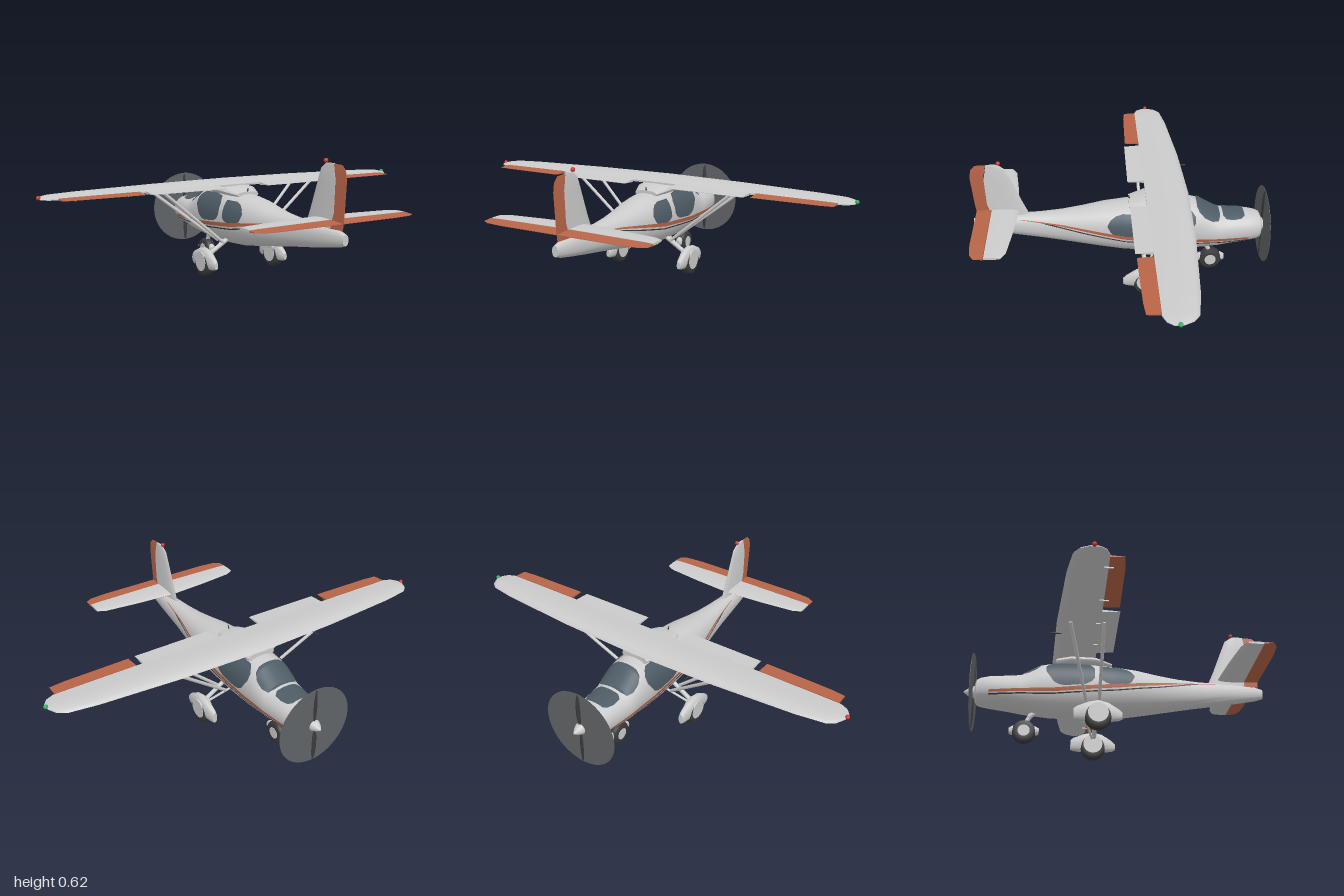
import * as THREE from 'three';
import { mergeVertices, toCreasedNormals } from 'three/addons/utils/BufferGeometryUtils.js';

const paint = (color) => new THREE.MeshStandardMaterial({ color, side: THREE.DoubleSide });
const grey = paint(0xcccccc), brown = paint(0xb86548), glass = paint(0x4e5c66);
const dark = paint(0x3a3a3c), discGrey = paint(0x606366);
const red = paint(0xd03a30), green = paint(0x2fae62);

// Linear lookup of column k in a table sorted by its first column
function lookup(table, z, k) {
  let i = 0;
  while (i < table.length - 2 && z > table[i + 1][0]) i++;
  const a = table[i], b = table[i + 1];
  return THREE.MathUtils.lerp(a[k], b[k], THREE.MathUtils.clamp((z - a[0]) / (b[0] - a[0]), 0, 1));
}

// Surface through rows of points
function skin(rows, crease = 0.7) {
  const n = rows[0].length, pos = rows.flat(2), idx = [];
  for (let i = 0; i < rows.length - 1; i++) for (let j = 0; j < n - 1; j++) {
    const a = i * n + j, c = a + n;
    idx.push(a, a + 1, c, a + 1, c + 1, c);
  }
  const g = new THREE.BufferGeometry();
  g.setAttribute('position', new THREE.Float32BufferAttribute(pos, 3));
  g.setIndex(idx);
  return toCreasedNormals(mergeVertices(g, 1e-5), crease);
}

// Body through oval sections [z, top, bottom, half width], closed at both ends
const POWER = 2.25;
function body(table, sides = 32) {
  const ring = ([z, t, b, w], s) => Array.from({ length: sides + 1 }, (_, j) => {
    const a = (j % sides) / sides * Math.PI * 2, c = Math.cos(a), n = Math.sin(a);
    const p = (v) => Math.sign(v) * Math.abs(v) ** (2 / POWER);
    return [s * w * p(c), (t + b) / 2 + s * (t - b) / 2 * p(n), z];
  });
  return skin([ring(table[0], 0), ...table.map((r) => ring(r, 1)), ring(table.at(-1), 0)]);
}

// Flying surface through stations [x, leading z, trailing z, thickness], closed at both ends
const WING = [[0, 0], [.03, .4], [.12, .75], [.3, 1], [.6, .8], [1, .3], [1, -.1], [.6, -.4], [.2, -.5], [.05, -.3]];
const FORE = [[0, 0], [.04, .35], [.2, .75], [.55, 1], [1, .8], [1, -.8], [.55, -1], [.2, -.75], [.04, -.35]];
const AFT = [[0, .8], [1, .12], [1, -.12], [0, -.8]];
function panel(stations, profile) {
  const loop = [...profile, profile[0]];
  const row = ([x, l, t, h], s) => loop.map(([u, v]) => [x, s * v * h, l + (t - l) * (0.5 + s * (u - 0.5))]);
  return skin([row(stations[0], 0), ...stations.map((r) => row(r, 1)), row(stations.at(-1), 0)], 0.6);
}
const bothSides = (st) => [...st.slice(st[0][0] === 0 ? 1 : 0).reverse().map(([x, ...r]) => [-x, ...r]), ...st];

// Fuselage sections: z, top, bottom, half width
const HULL = [
  [-.668, .29, .205, .05], [-.66, .308, .19, .07], [-.64, .317, .184, .08], [-.6, .325, .178, .09],
  [-.5, .33, .165, .101], [-.45, .335, .156, .106], [-.4, .365, .15, .109], [-.36, .39, .145, .112],
  [-.32, .4, .141, .115], [-.2, .405, .138, .118], [-.1, .402, .14, .118], [0, .395, .147, .115],
  [.1, .384, .162, .102], [.2, .365, .178, .084], [.3, .35, .195, .067], [.4, .342, .211, .053],
  [.5, .338, .226, .043], [.6, .334, .242, .033], [.69, .328, .258, .022], [.725, .318, .27, .015]];

// Thin patch lying on the fuselage side between two (z, y) lines
function sidePatch(upper, lower, side) {
  const rows = [], z0 = upper[0][0], z1 = upper.at(-1)[0], lift = 0.003;
  for (let i = 0; i <= 40; i++) {
    const z = z0 + (z1 - z0) * i / 40, row = [];
    const t = lookup(HULL, z, 1), b = lookup(HULL, z, 2), w = lookup(HULL, z, 3) + lift;
    for (let j = 0; j <= 8; j++) {
      const y = THREE.MathUtils.lerp(lookup(lower, z, 1), lookup(upper, z, 1), j / 8);
      const k = Math.min(1, Math.abs(y - (t + b) / 2) / ((t - b) / 2 + lift));
      row.push([side * w * (1 - k ** POWER) ** (1 / POWER), y, z]);
    }
    rows.push(side > 0 ? row : row.reverse());
  }
  return skin(rows);
}

// Thin patch lying on the fuselage top, outline [z, half width]
function topPatch(outline) {
  const rows = [], z0 = outline[0][0], z1 = outline.at(-1)[0];
  for (let i = 0; i <= 24; i++) {
    const z = z0 + (z1 - z0) * i / 24, row = [];
    const t = lookup(HULL, z, 1), b = lookup(HULL, z, 2), w = lookup(HULL, z, 3) + .003;
    for (let j = 0; j <= 16; j++) {
      const x = lookup(outline, z, 1) * (1 - j / 8);
      row.push([x, (t + b) / 2 + ((t - b) / 2 + .004) * (1 - (Math.abs(x) / w) ** POWER) ** (1 / POWER), z]);
    }
    rows.push(row);
  }
  return skin(rows);
}

export function createModel() {
  const model = new THREE.Group();
  const add = (name, geo, mat = grey, x = 0, y = 0, z = 0) => {
    const m = new THREE.Mesh(geo, mat);
    m.name = name;
    m.position.set(x, y, z);
    model.add(m);
    return m;
  };
  const rod = (name, a, b, r, mat = grey) => {
    const p = new THREE.Vector3(...a), q = new THREE.Vector3(...b), d = q.clone().sub(p);
    const m = add(name, new THREE.CylinderGeometry(r, r, d.length(), 12), mat);
    m.position.copy(p).add(q).multiplyScalar(0.5);
    m.quaternion.setFromUnitVectors(new THREE.Vector3(0, 1, 0), d.normalize());
    return m;
  };
  const wheel = (name, x, y, z, r, halfWidth, hub, hubLift) => {
    const e = halfWidth, tyre = [[r * .5, -e], [r * .85, -e], [r * .97, -e * .6], [r, 0], [r * .97, e * .6], [r * .85, e], [r * .5, e]];
    const pts = tyre.map(([a, b]) => new THREE.Vector2(a, b));
    add(name + 'Tyre', new THREE.LatheGeometry(pts, 32).rotateZ(Math.PI / 2), dark, x, y, z);
    add(name + 'Hub', new THREE.CylinderGeometry(hub, hub, halfWidth * 2.15, 28).rotateZ(Math.PI / 2), grey, x, y + hubLift, z);
  };

  // Fuselage and the fairing joining cabin roof to wing
  add('fuselage', body(HULL));
  add('wingFairing', body([[-.29, .425, .38, .07], [-.22, .435, .38, .09], [-.1, .432, .38, .09], [-.02, .41, .38, .06]], 20));

  // Glazing and dark panel on the cowl
  add('windshield', topPatch([[-.46, .05], [-.45, .078], [-.42, .09], [-.38, .09], [-.355, .078], [-.345, .055]]), glass);
  add('cowlPanel', topPatch([[-.58, .045], [-.565, .06], [-.53, .068], [-.49, .068], [-.475, .05]]), glass);
  for (const s of [-1, 1]) {
    add('rearWindow', sidePatch(
      [[-.07, .37], [.01, .37], [.045, .36], [.07, .343], [.085, .318]],
      [[-.07, .285], [-.055, .272], [-.03, .265], [.05, .27], [.07, .285], [.085, .315]], s), glass);
    add('doorWindow', sidePatch(
      [[-.335, .355], [-.32, .375], [-.3, .386], [-.2, .39], [-.13, .382], [-.105, .35]],
      [[-.335, .325], [-.3, .27], [-.275, .255], [-.245, .25], [-.15, .26], [-.12, .275], [-.105, .295]], s), glass);
    add('wideStripe', sidePatch(
      [[-.6, .228], [-.3, .238], [0, .268], [.3, .308], [.5, .325]],
      [[-.6, .217], [-.3, .22], [0, .249], [.3, .3], [.5, .323]], s), brown);
    const line = [[-.6, .212], [-.3, .214], [0, .24], [.2, .275], [.4, .317]];
    add('thinStripe', sidePatch(line, line.map(([z, y]) => [z, y - .006]), s), dark);
  }

  // Wing, flaps and ailerons
  add('wing', panel(bothSides([[0, -.307, -.1, .023], [.4, -.295, -.1, .021], [.8, -.265, -.1, .016],
    [.93, -.245, -.1, .013], [.965, -.22, -.115, .01], [.985, -.18, -.14, .005]]), WING), grey, 0, .432);
  for (const s of [-1, 1]) {
    const sided = (st) => s > 0 ? st : st.map(([x, ...r]) => [-x, ...r]).reverse();
    add('flap', panel(sided([[.12, -.1, -.02, .008], [.505, -.1, -.022, .008]]), AFT), grey, 0, .432);
    add('aileron', panel(sided([[.54, -.1, -.027, .008], [.85, -.1, -.033, .007], [.92, -.1, -.04, .006]]), AFT), brown, 0, .434);
    for (const x of [.2, .4, .6, .85]) add('hinge', new THREE.BoxGeometry(.006, .008, .04), grey, s * x, .428, -.1);
    add('wingtipLight', new THREE.SphereGeometry(.01, 16, 10), s > 0 ? green : red, s * .988, .438, -.165);
  }

  // Tailplane with elevator, fin with rudder
  add('tailplane', panel(bothSides([[0, .505, .635, .012], [.2, .52, .635, .01], [.37, .54, .635, .008], [.41, .56, .635, .006]]), FORE), grey, 0, .36);
  add('elevator', panel(bothSides([[0, .637, .708, .011], [.3, .637, .708, .008], [.38, .637, .7, .007], [.413, .637, .68, .005]]), AFT), brown, 0, .36);
  add('fin', panel([[.32, .45, .63, .014], [.4, .485, .655, .012], [.53, .535, .66, .01],
    [.58, .555, .65, .008], [.605, .59, .645, .005]], FORE).rotateZ(Math.PI / 2));
  add('rudder', panel([[.33, .63, .705, .012], [.4, .656, .714, .011], [.54, .661, .725, .009],
    [.58, .652, .718, .008], [.603, .646, .695, .005]], AFT).rotateZ(Math.PI / 2), brown);
  add('finLight', new THREE.SphereGeometry(.01, 16, 10), red, 0, .613, .587);

  // Wing struts and main landing gear
  for (const s of [-1, 1]) {
    rod('rearStrut', [s * .42, .425, -.085], [s * .1, .155, -.085], .008);
    rod('frontStrut', [s * .42, .42, -.235], [s * .1, .16, -.14], .008);
    rod('mainGearLeg', [s * .07, .175, -.09], [s * .19, .1, -.09], .011);
    rod('gearBrace', [s * .07, .16, -.14], [s * .17, .1, -.1], .006);
    wheel('main', s * .2, .063, -.095, .063, .026, .047, .012);
    add('mainFairing', body([[-.205, .1, .048, .012], [-.19, .112, .043, .017], [-.14, .133, .037, .024], [-.095, .143, .036, .025],
      [-.05, .132, .038, .024], [0, .1, .045, .015], [.015, .085, .052, .009]], 20), grey, s * .2);
  }

  // Nose gear
  wheel('nose', 0, .056, -.43, .056, .024, .028, 0);
  add('noseFairing', body([[-.5, .075, .045, .012], [-.485, .085, .04, .017], [-.43, .098, .04, .022],
    [-.375, .085, .04, .017], [-.36, .075, .045, .012]], 20));
  rod('noseLeg', [0, .165, -.375], [0, .13, -.41], .013);
  rod('noseFork', [0, .135, -.405], [0, .09, -.43], .011);

  // Propeller disc, blades and spinner
  add('propellerDisc', new THREE.CylinderGeometry(.187, .187, .002, 48).rotateX(Math.PI / 2), discGrey, 0, .25, -.68);
  for (const s of [-1, 1]) {
    const blade = add('propellerBlade', new THREE.SphereGeometry(1, 16, 12), dark, 0, .25 + s * .098, -.68);
    blade.scale.set(.014, .088, .006);
    blade.rotation.y = s * 0.5;
  }
  const nose = [[0, .058], [.008, .05], [.02, .032], [.03, .008], [.032, -.002], [.028, -.012], [0, -.012]].map(([r, y]) => new THREE.Vector2(r, y));
  add('spinner', new THREE.LatheGeometry(nose.reverse(), 28).rotateX(-Math.PI / 2), grey, 0, .25, -.667);

  // Air probe and roof aerial
  rod('airProbe', [-.3, .425, -.27], [-.3, .425, -.325], .003, dark);
  rod('aerial', [0, .39, -.03], [0, .425, -.02], .003, dark);
  return model;
}
